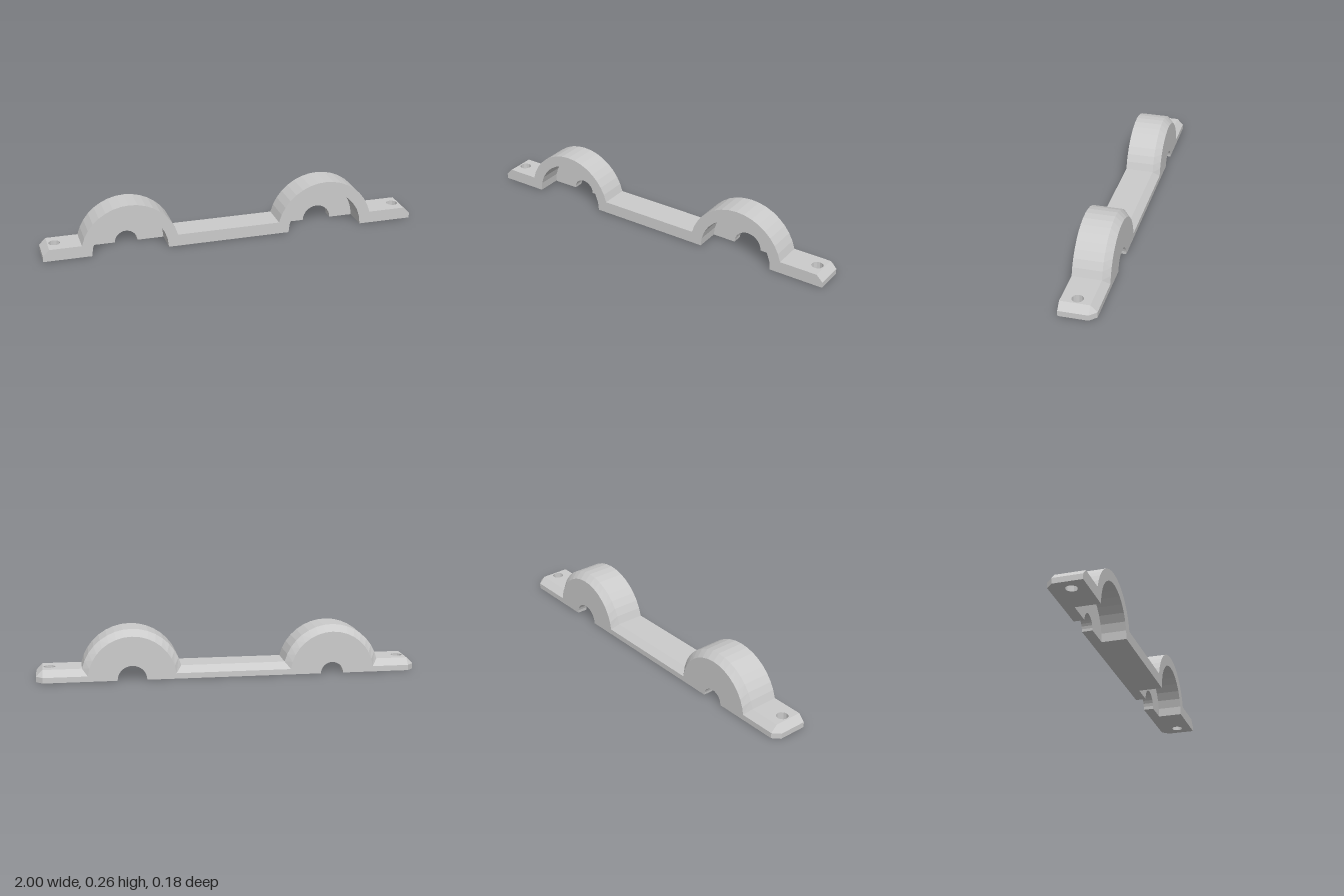
import * as THREE from 'three';
import { mergeGeometries } from 'three/addons/utils/BufferGeometryUtils.js';

const FRONT = 0.092, FLOOR = -0.037, BEVEL_Z = -0.058, BACK = -0.092;
const PLATE = 0.063, BEVEL = 0.034, CUT = 0.84; // CUT: where the tabs join the body
const ARCHES = [
  { x: -0.55, outer: 0.258, cavity: 0.2, bore: 0.06 },
  { x: 0.507, outer: 0.265, cavity: 0.203, bore: 0.077 },
];

// Points along a circular arc
function arc(cx, cy, r, from, to, n) {
  return Array.from({ length: n + 1 }, (_, i) => {
    const a = from + (to - from) * i / n;
    return new THREE.Vector2(cx + r * Math.cos(a), cy + r * Math.sin(a));
  });
}

// Walls between two matching outlines, leaving the joints at CUT open
function walls(a, za, b, zb) {
  const pos = [];
  const joint = p => Math.abs(Math.abs(p.x) - CUT) < 1e-6;
  a.forEach((p, i) => {
    const j = (i + 1) % a.length;
    if (joint(p) && joint(a[j]) && p.x * a[j].x > 0) return;
    const A = [p.x, p.y, za], B = [b[i].x, b[i].y, zb];
    const C = [b[j].x, b[j].y, zb], D = [a[j].x, a[j].y, za];
    pos.push(...A, ...B, ...C, ...A, ...C, ...D);
  });
  const g = new THREE.BufferGeometry();
  g.setAttribute('position', new THREE.Float32BufferAttribute(pos, 3));
  return g;
}

// Flat face at a given z, optionally with a hole, facing +z or -z
function cap(points, z, flip = false, hole = null) {
  const shape = new THREE.Shape(points);
  if (hole) shape.holes.push(new THREE.Path(hole));
  let g = new THREE.ShapeGeometry(shape);
  if (flip) g.index.array.reverse();
  g = g.toNonIndexed();
  g.deleteAttribute('uv');
  g.deleteAttribute('normal');
  return g.translate(0, 0, z);
}

function part(name, pieces, material) {
  const g = mergeGeometries(pieces);
  g.computeVertexNormals();
  const mesh = new THREE.Mesh(g, material);
  mesh.name = name;
  return mesh;
}

// Front outline of the two-arched strip, with half-round openings below
function outline(opening, inset) {
  const top = PLATE - inset;
  const pts = [new THREE.Vector2(-CUT, 0)];
  for (const s of ARCHES) pts.push(...arc(s.x, 0, s[opening], Math.PI, 0, 14));
  pts.push(new THREE.Vector2(CUT, 0), new THREE.Vector2(CUT, top));
  for (const s of [...ARCHES].reverse()) {
    const r = s.outer - inset, a = Math.asin(top / r);
    pts.push(...arc(s.x, 0, r, a, Math.PI - a, 16));
  }
  pts.push(new THREE.Vector2(-CUT, top));
  return pts;
}

function makeBody(material) {
  const open = outline('cavity', 0), full = outline('bore', 0), small = outline('bore', BEVEL);
  const pieces = [
    cap(open, FRONT), walls(open, FRONT, open, FLOOR),
    walls(full, FLOOR, full, BEVEL_Z), walls(full, BEVEL_Z, small, BACK),
    cap(small, BACK, true),
  ];
  // Back wall seen inside each cavity
  for (const s of ARCHES) {
    pieces.push(cap([
      ...arc(s.x, 0, s.cavity, 0, Math.PI, 14),
      ...arc(s.x, 0, s.bore, Math.PI, 0, 14),
    ], FLOOR));
  }
  return part('archedStrip', pieces, material);
}

// Bevelled end tab with a screw hole, drawn in plan and laid flat
function makeTab(side, material) {
  const plan = list => {
    const p = list.map(([x, z]) => new THREE.Vector2(side * x, -z));
    return side > 0 ? p : p.reverse();
  };
  const e = 1 - BEVEL;
  const base = plan([[CUT, FRONT], [1, FRONT], [1, BEVEL_Z], [e, BACK], [CUT, BACK]]);
  const top = plan([[CUT, FRONT], [e, FRONT], [e, BEVEL_Z], [e, BEVEL_Z], [CUT, BEVEL_Z]]);
  const face = plan([[CUT, FRONT], [e, FRONT], [e, BEVEL_Z], [CUT, BEVEL_Z]]);
  const hole = arc(side * 0.93, -0.013, 0.03, Math.PI * 2, 0, 12).slice(0, -1);
  const pieces = [
    cap(face, PLATE, false, hole), walls(top, PLATE, base, PLATE - BEVEL),
    walls(base, PLATE - BEVEL, base, 0), cap(base, 0, true, hole),
    walls(hole, PLATE, hole, 0),
  ];
  pieces.forEach(g => g.rotateX(-Math.PI / 2));
  return part(side > 0 ? 'leftScrewTab' : 'rightScrewTab', pieces, material);
}

export function createModel() {
  const group = new THREE.Group();
  group.name = 'doubleClampBracket';
  const material = new THREE.MeshStandardMaterial({ color: 0xcccccc, flatShading: true });
  group.add(makeBody(material), makeTab(1, material), makeTab(-1, material));
  return group;
}
